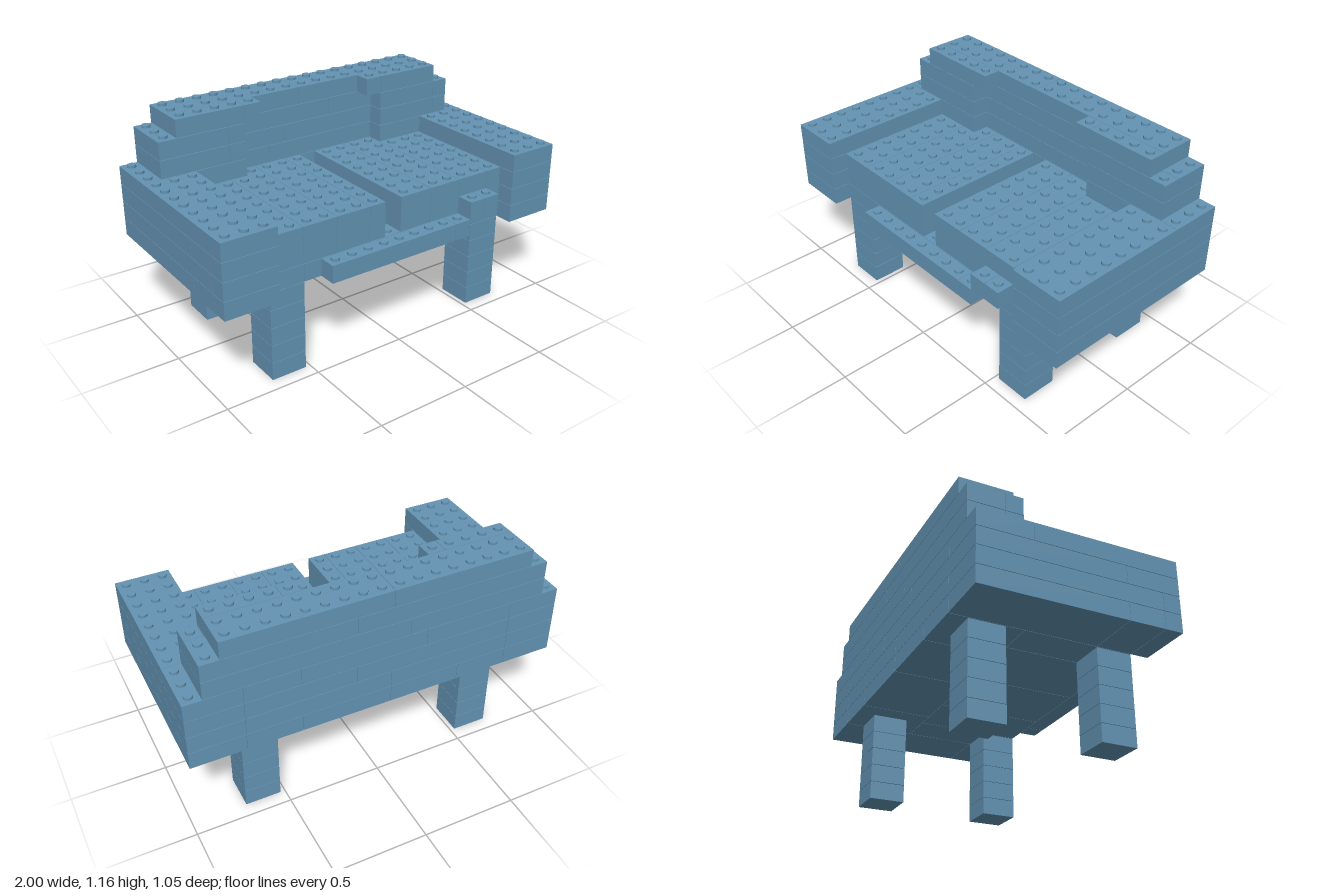
import * as THREE from 'three';
import { mergeGeometries } from 'three/addons/utils/BufferGeometryUtils.js';

const U = 2 / 21;      // stud pitch
const H = 0.0955;      // plate layer height
const GAP = 0.0011;    // seam on each side of a brick
const X = (i) => -1 + i * U;
const Z = (j) => (j - 5.5) * U;

export function createModel() {
  const model = new THREE.Group();
  model.name = 'brickSofa';
  const blue = new THREE.MeshStandardMaterial({ color: 0x6494b4 });
  blue.name = 'sandBlue';

  const filled = new Set();
  const parts = {};

  // One brick spanning columns i0..i1, rows j0..j1 and layers k0..k1
  function brick(part, i0, i1, j0, j1, k0, k1 = k0 + 1) {
    const g = new THREE.BoxGeometry((i1 - i0) * U - 2 * GAP, (k1 - k0) * H - 2 * GAP, (j1 - j0) * U - 2 * GAP);
    g.translate(X((i0 + i1) / 2), (k0 + k1) / 2 * H, Z((j0 + j1) / 2));
    (parts[part] ??= []).push(g);
    for (let i = i0; i < i1; i++)
      for (let j = j0; j < j1; j++)
        for (let k = k0; k < k1; k++) filled.add(`${i},${j},${k}`);
  }
  // A row of bricks split at the given columns
  function rowX(part, cuts, j0, j1, k0, k1) {
    for (let n = 0; n + 1 < cuts.length; n++) brick(part, cuts[n], cuts[n + 1], j0, j1, k0, k1);
  }
  // A row of bricks split at the given depths
  function rowZ(part, i0, i1, cuts, k0, k1) {
    for (let n = 0; n + 1 < cuts.length; n++) brick(part, i0, i1, cuts[n], cuts[n + 1], k0, k1);
  }

  // Legs: four stacks of five bricks
  for (const [i, side] of [[3, 'right'], [16, 'left']])
    for (const [j, end] of [[1, 'Back'], [8, 'Front']])
      for (let k = 0; k < 5; k++) brick(`${side}${end}Leg`, i, i + 2, j, j + 2, k);

  // Base plate and front ledge
  rowX('base', [3, 6, 10, 15, 18], 0, 4, 5);
  rowX('base', [3, 5, 9, 13, 16, 18], 4, 10, 5);
  rowX('frontLedge', [6, 14, 15], 10, 11, 5);
  rowX('ledgeBlock', [15, 16, 17], 10, 11, 6);

  // Arms: four staggered layers on each side
  const armCuts = [[0, 8, 10, 11], [0, 10, 11], [0, 8, 11], [0, 3, 11]];
  armCuts.forEach((cuts, n) => {
    rowZ('rightArm', 0, 3, cuts, 5 + n);
    rowZ('leftArm', 18, 21, cuts, 5 + n);
  });

  // Seat cushions, with a groove between them
  rowX('rightCushion', [3, 5, 7, 9, 10], 2, 10, 6, 8);
  rowX('leftCushion', [11, 13, 15, 17, 18], 2, 10, 6, 8);

  // Backrest: two rows deep, narrowing towards the top
  rowX('backrest', [3, 10, 18], 0, 2, 6);
  rowX('backrest', [3, 12, 18], 0, 2, 7);
  rowX('backrest', [3, 8, 15, 18], 0, 2, 8);
  rowX('backrest', [1, 9, 20], 0, 2, 9);
  rowX('backrest', [1, 12, 20], 0, 2, 10);
  rowX('backrest', [2, 10, 19], 0, 2, 11);

  // Backrest wings: one row thicker at both ends
  rowX('rightWing', [3, 6], 2, 3, 8);
  rowX('leftWing', [15, 18], 2, 3, 8);
  for (const k of [9, 10]) {
    rowX('rightWing', [1, 5, 6], 2, 3, k);
    rowX('leftWing', [15, 19, 20], 2, 3, k);
  }
  rowX('rightWing', [2, 6, 7], 2, 3, 11);
  rowX('leftWing', [14, 15, 19], 2, 3, 11);

  // Studs on every uncovered brick top
  const studs = [];
  for (const key of filled) {
    const [i, j, k] = key.split(',').map(Number);
    if (filled.has(`${i},${j},${k + 1}`)) continue;
    const g = new THREE.CylinderGeometry(0.0225, 0.0225, 0.014, 16);
    g.translate(X(i + 0.5), (k + 1) * H + 0.006, Z(j + 0.5));
    studs.push(g);
  }
  parts.studs = studs;

  for (const [name, list] of Object.entries(parts)) {
    const mesh = new THREE.Mesh(mergeGeometries(list), blue);
    mesh.name = name;
    model.add(mesh);
  }
  return model;
}
